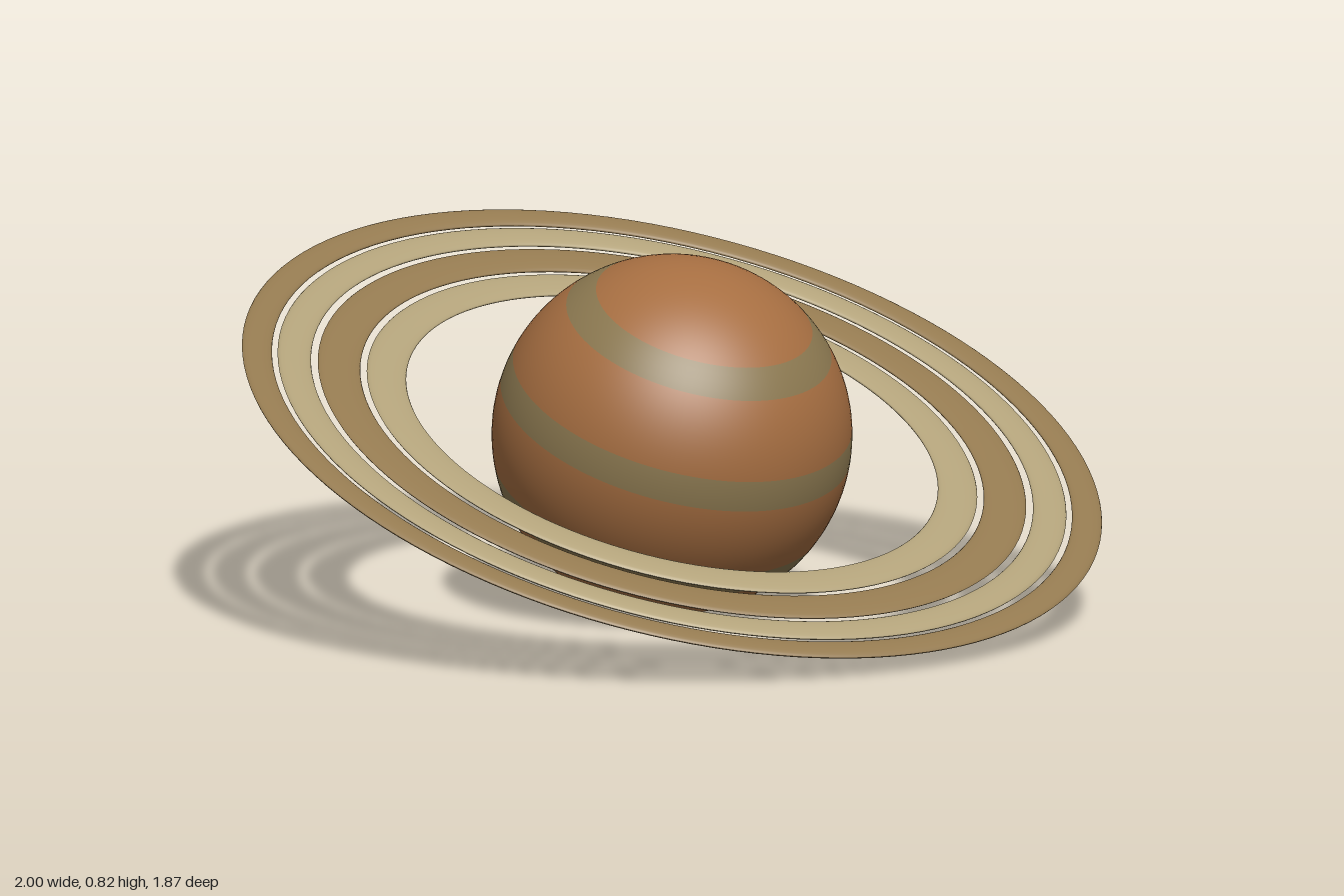
import * as THREE from 'three';

const material = (name, color) => {
  const m = new THREE.MeshStandardMaterial({ color });
  m.name = name;
  return m;
};

export function createModel() {
  const rust = material('rust', 0xa66e41);
  const olive = material('olive', 0x8b7850);
  const paleSand = material('paleSand', 0xb2a27a);
  const darkSand = material('darkSand', 0x947a50);

  const model = new THREE.Group();
  model.name = 'ringedPlanet';

  // Everything shares one tilted spin axis
  const tilted = new THREE.Group();
  tilted.name = 'tiltedBody';
  tilted.position.y = 0.41;
  tilted.quaternion.setFromUnitVectors(
    new THREE.Vector3(0, 1, 0),
    new THREE.Vector3(0.085, 0.93, 0.36).normalize()
  );
  model.add(tilted);

  const add = (name, geometry, mat) => {
    const mesh = new THREE.Mesh(geometry, mat);
    mesh.name = name;
    tilted.add(mesh);
  };

  // Globe: zones between latitudes, alternating ground and stripe colours
  const latitudes = [90, 52, 41, 15, 5, -21, -32, -65, -90];
  for (let i = 0; i < latitudes.length - 1; i++) {
    const start = THREE.MathUtils.degToRad(90 - latitudes[i]);
    const span = THREE.MathUtils.degToRad(latitudes[i] - latitudes[i + 1]);
    const rows = Math.max(3, Math.ceil(span / 0.06));
    const zone = new THREE.SphereGeometry(0.41, 96, rows, 0, Math.PI * 2, start, span);
    const name = i === 7 ? 'southCap' : i % 2 ? 'globeStripe' : 'globeZone';
    add(name + (i + 1), zone, i % 2 ? olive : rust);
  }

  // Rings: flattened tubes with narrow gaps between them
  const rings = [[0.62, 0.712], [0.727, 0.826], [0.842, 0.92], [0.933, 1.003]];
  rings.forEach(([inner, outer], i) => {
    const profile = [];
    for (let k = 0; k <= 20; k++) {
      const a = (k / 20) * Math.PI * 2;
      profile.push(new THREE.Vector2(
        (inner + outer) / 2 + Math.cos(a) * (outer - inner) / 2,
        Math.sin(a) * 0.009
      ));
    }
    add('ring' + (i + 1), new THREE.LatheGeometry(profile, 128), i % 2 ? darkSand : paleSand);
  });

  return model;
}
